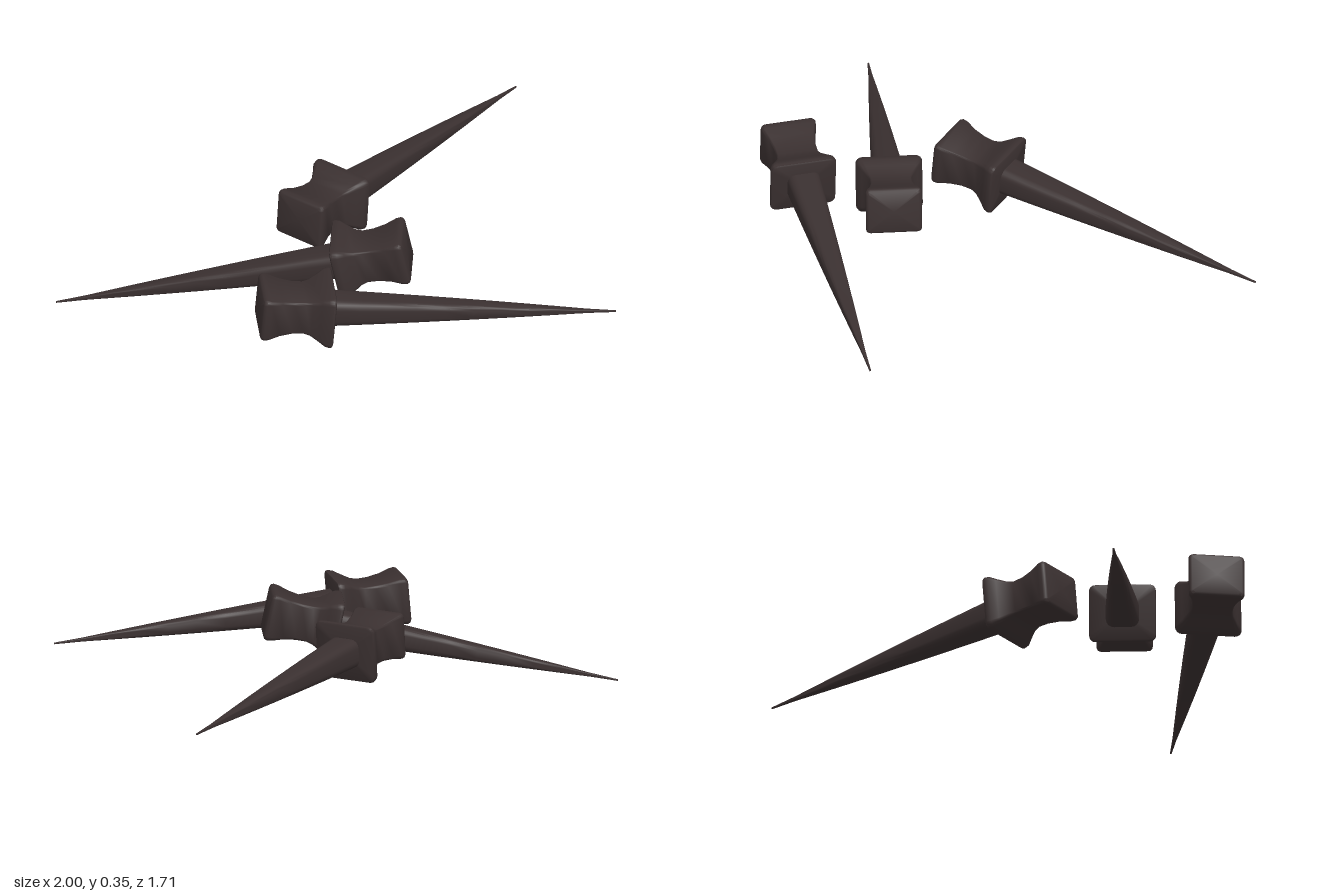
import * as THREE from 'three';
import { toCreasedNormals } from 'three/addons/utils/BufferGeometryUtils.js';

// Rounded-rectangle outline, counter-clockwise seen from +z
function outline(w, h, r, steps = 4) {
  const pts = [];
  [[1, 1], [-1, 1], [-1, -1], [1, -1]].forEach(([sx, sy], corner) => {
    for (let i = 0; i <= steps; i++) {
      const a = (corner + i / steps) * Math.PI / 2;
      pts.push([sx * (w - r) + Math.cos(a) * r, sy * (h - r) + Math.sin(a) * r]);
    }
  });
  return pts;
}

// Skin over sections [z, halfWidth, halfHeight, cornerRadius], capped at both ends
function loft(sections, crease) {
  const pos = [], index = [];
  let n = 0;
  for (const [z, w, h, r] of sections) {
    const ring = outline(w, h, r);
    n = ring.length;
    ring.forEach(([x, y]) => pos.push(x, y, z));
  }
  for (let s = 0; s < sections.length - 1; s++) {
    for (let i = 0; i < n; i++) {
      const a = s * n + i, b = s * n + (i + 1) % n;
      index.push(a, b, b + n, a, b + n, a + n);
    }
  }
  const last = sections.length - 1;
  const c0 = pos.length / 3, c1 = c0 + 1;
  pos.push(0, 0, sections[0][0], 0, 0, sections[last][0]);
  for (let i = 0; i < n; i++) {
    const j = (i + 1) % n;
    index.push(c0, j, i, c1, last * n + i, last * n + j);
  }
  const geo = new THREE.BufferGeometry();
  geo.setAttribute('position', new THREE.Float32BufferAttribute(pos, 3));
  geo.setIndex(index);
  return toCreasedNormals(geo, crease);
}

export function createModel() {
  const iron = new THREE.MeshStandardMaterial({ color: 0x3a3030 });
  iron.name = 'dark iron';

  // Pinched block: struck end, narrow waist, wide collar
  const headGeo = loft([
    [-0.26, 0.089, 0.074, 0.012], [-0.256, 0.096, 0.081, 0.014],
    [-0.247, 0.1, 0.085, 0.016], [-0.23, 0.098, 0.083, 0.014],
    [-0.19, 0.085, 0.073, 0.012], [-0.145, 0.076, 0.067, 0.01],
    [-0.105, 0.075, 0.066, 0.01], [-0.08, 0.082, 0.072, 0.012],
    [-0.05, 0.1, 0.087, 0.015], [-0.027, 0.116, 0.1, 0.02],
    [-0.01, 0.119, 0.104, 0.022], [-0.003, 0.117, 0.102, 0.022], [0, 0.112, 0.097, 0.02],
  ], 0.7);

  // Slightly bulging shaft drawn out to a point
  const shaft = [];
  for (let i = 0; i <= 10; i++) {
    const t = i / 10;
    const k = Math.max(1 - t + 0.22 * t * (1 - t), 0.05);
    shaft.push([-0.01 + 1.03 * t, 0.06 * k, 0.053 * k, 0.03 * k]);
  }
  const shaftGeo = loft(shaft, 0.7);

  // Each spike: centre of the struck end, then the tip
  const spikes = [
    ['frontSpike', [-0.26, 0.247, 0.75], [1, 0.135, 0.545]],
    ['middleSpike', [0.247, 0.275, 0.405], [-1, 0.008, 0.405]],
    ['backSpike', [-0.15, 0.247, 0.195], [0.57, 0.132, -0.86]],
  ];
  const model = new THREE.Group();
  model.name = 'spikes';
  for (const [name, end, tip] of spikes) {
    const from = new THREE.Vector3(...end), to = new THREE.Vector3(...tip);
    const spike = new THREE.Group();
    spike.name = name;
    const dir = to.clone().sub(from).normalize();
    spike.position.copy(to).addScaledVector(dir, -1.02);
    spike.lookAt(to);
    const head = new THREE.Mesh(headGeo, iron);
    head.name = 'head';
    const point = new THREE.Mesh(shaftGeo, iron);
    point.name = 'shaft';
    spike.add(head, point);
    model.add(spike);
  }
  return model;
}
